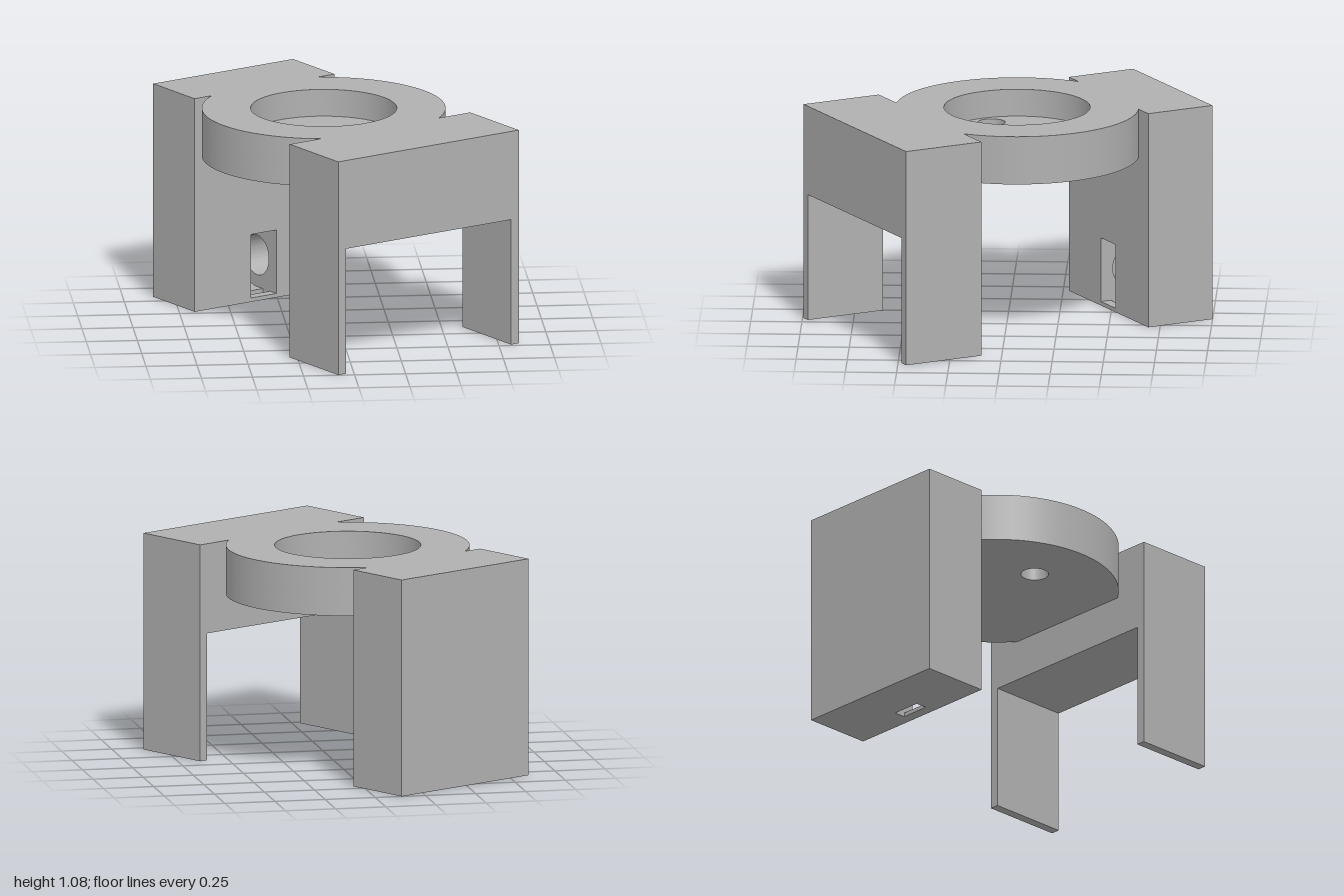
import * as THREE from 'three';
import { toCreasedNormals } from 'three/addons/utils/BufferGeometryUtils.js';

const grey = new THREE.MeshStandardMaterial({ color: 0xb0b0b0 });
grey.name = 'plain grey';

const R = 0.595;                        // disc radius
const FRONT = 0.48, BACK = 0.505;       // where the blocks meet the disc
const TOP = 1.075;

function circle(x, y, r) {
  return new THREE.Path().absarc(x, y, r, 0, Math.PI * 2, true);
}

function rect(x0, y0, x1, y1) {
  return new THREE.Shape([[x0, y0], [x1, y0], [x1, y1], [x0, y1]].map(p => new THREE.Vector2(...p)));
}

function extrude(shape, depth) {
  return new THREE.ExtrudeGeometry(shape, { depth, bevelEnabled: false, curveSegments: 40 });
}

function add(group, name, geometry) {
  const mesh = new THREE.Mesh(toCreasedNormals(geometry, 0.5), grey);
  mesh.name = name;
  group.add(mesh);
}

// horizontal slab from an (x, z) outline
function slab(group, name, shape, y0, y1) {
  add(group, name, extrude(shape, y1 - y0).rotateX(Math.PI / 2).translate(0, y1, 0));
}

// upright section from a (-z, y) outline, running along x
function section(group, name, shape, x0, x1) {
  add(group, name, extrude(shape, x1 - x0).rotateY(Math.PI / 2).translate(x0, 0, 0));
}

// disc outline trimmed flat at the front and back blocks
function discOutline() {
  const a = Math.asin(FRONT / R), b = Math.asin(BACK / R);
  return new THREE.Shape()
    .absarc(0, 0, R, -b, a, false)
    .absarc(0, 0, R, Math.PI - a, Math.PI + b, false);
}

export function createModel() {
  const model = new THREE.Group();
  model.name = 'bracket';

  // round plate: drilled floor and raised rim around a shallow recess
  const floor = discOutline();
  floor.holes.push(circle(0.267, 0, 0.067), circle(-0.267, 0, 0.067));
  slab(model, 'recessFloor', floor, 0.835, 0.94);
  const rim = discOutline();
  rim.holes.push(circle(0, 0, 0.357));
  slab(model, 'recessRim', rim, 0.94, TOP);

  // front block with two thin legs, one arch-shaped piece
  const w = 0.5365, t = 0.046, arch = 0.63;
  const outline = [[-w, 0], [-w + t, 0], [-w + t, arch], [w - t, arch], [w - t, 0], [w, 0], [w, TOP], [-w, TOP]];
  const archShape = new THREE.Shape(outline.map(p => new THREE.Vector2(...p)));
  add(model, 'frontArch', extrude(archShape, 0.415).translate(0, 0, FRONT));

  // rear block: solid ends, blind bores, and a slotted middle
  const end = 0.859, half = 0.4155, s0 = -0.08, s1 = 0.07, bore = 0.2;
  const cs = 0.67, cy = 0.18, r = 0.16;
  const solid = rect(BACK, 0, end, TOP);
  const bored = rect(BACK, 0, end, TOP);
  bored.holes.push(circle(cs, cy, 0.1));
  section(model, 'rearBlockRightEnd', solid, -half, s0 - bore);
  section(model, 'rearBlockRightBore', bored, s0 - bore, s0);
  section(model, 'rearBlockLeftBore', bored, s1, s1 + bore);
  section(model, 'rearBlockLeftEnd', solid, s1 + bore, half);

  // middle: round-ended pocket open to the inside, with a slit in its floor
  const pocket = new THREE.Shape();
  pocket.moveTo(0.62, 0);
  pocket.lineTo(end, 0);
  pocket.lineTo(end, TOP);
  pocket.lineTo(BACK, TOP);
  pocket.lineTo(BACK, cy + r);
  pocket.lineTo(cs, cy + r);
  pocket.absarc(cs, cy, r, Math.PI / 2, -Math.PI / 2, true);
  pocket.lineTo(0.62, cy - r);
  section(model, 'rearBlockPocket', pocket, s0, s1);
  section(model, 'pocketLip', rect(BACK, 0, 0.56, cy - r), s0, s1);

  // the whole part stands turned by thirty degrees
  model.rotation.y = Math.PI / 6;
  model.position.set(-0.062, 0, -0.048);
  const root = new THREE.Group();
  root.name = 'turnedBracket';
  root.add(model);
  return root;
}
